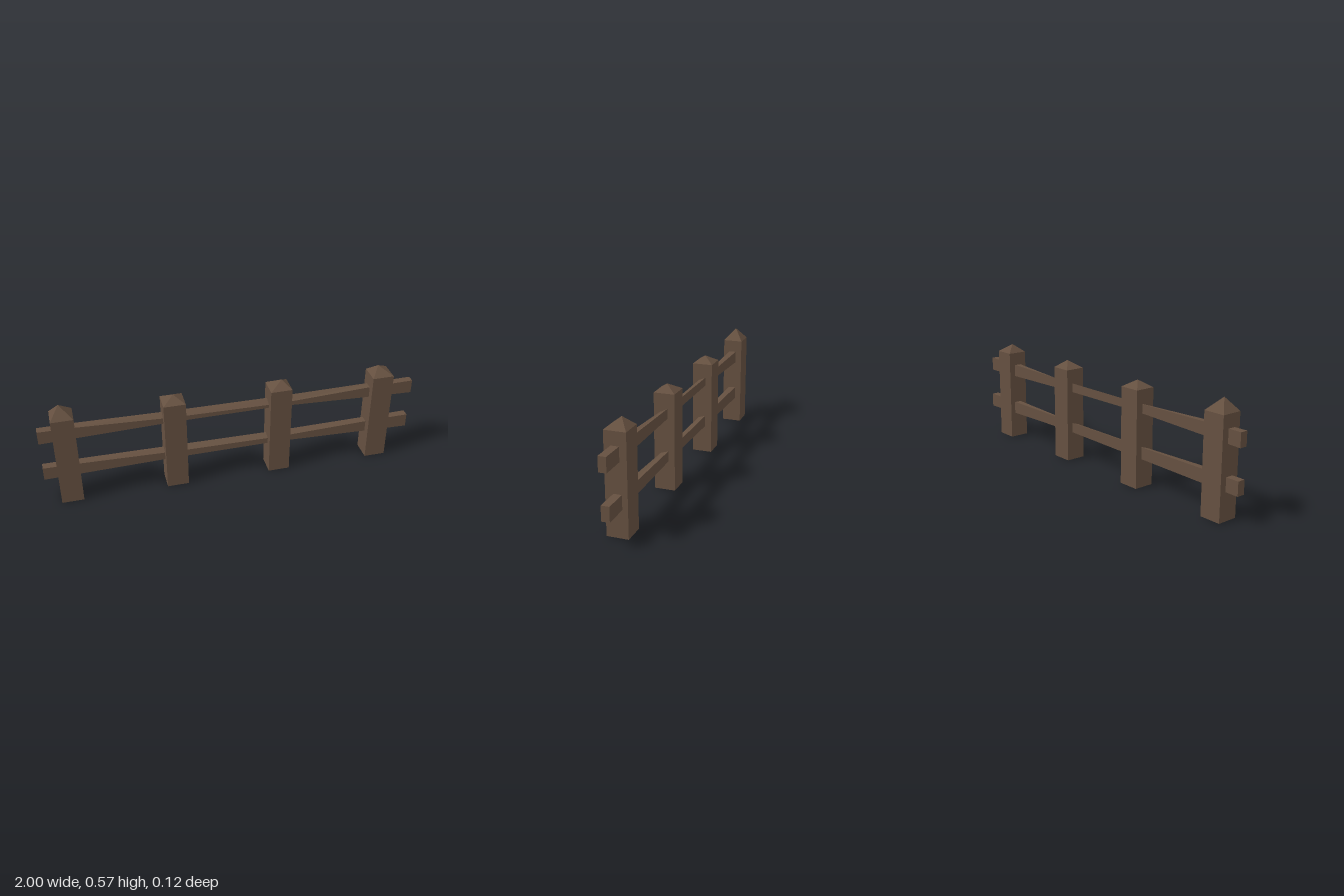
import * as THREE from 'three';

const WIDTH = 0.115, DEPTH = 0.109, SHOULDER = 0.51;

// Squared post with an off-centre pyramid point
function makePost(material, x, z, tipX, tipY, tipZ) {
  const post = new THREE.Group();
  post.name = 'post';
  const shaft = new THREE.Mesh(new THREE.BoxGeometry(WIDTH, SHOULDER, DEPTH), material);
  shaft.name = 'postShaft';
  shaft.position.set(x, SHOULDER / 2, z);

  const h = tipY - SHOULDER;
  const cone = new THREE.ConeGeometry(Math.SQRT1_2, h, 4, 1, true);
  cone.rotateY(Math.PI / 4);
  cone.scale(WIDTH, 1, DEPTH);
  cone.translate(x, SHOULDER + h / 2, z);
  const p = cone.attributes.position;
  for (let i = 0; i < p.count; i++) {
    if (p.getY(i) > SHOULDER + h / 2) p.setXYZ(i, tipX, tipY, tipZ);
  }
  const flat = cone.toNonIndexed();
  flat.computeVertexNormals();
  const point = new THREE.Mesh(flat, material);
  point.name = 'postPoint';
  post.add(shaft, point);
  return post;
}

// Hewn rail through four-cornered sections:
// [x, front z, back z, front top, back top, back bottom, front bottom]
function makeRail(material, name, sections) {
  const positions = [], index = [];
  for (const [x, f, b, ft, bt, bb, fb] of sections) {
    positions.push(x, ft, f, x, bt, b, x, bb, b, x, fb, f);
  }
  const last = (sections.length - 1) * 4;
  for (let s = 0; s < last; s += 4) {
    for (let k = 0; k < 4; k++) {
      const n = (k + 1) % 4;
      index.push(s + k, s + 4 + k, s + 4 + n, s + k, s + 4 + n, s + n);
    }
  }
  index.push(0, 1, 2, 0, 2, 3, last, last + 3, last + 2, last, last + 2, last + 1);
  const indexed = new THREE.BufferGeometry();
  indexed.setAttribute('position', new THREE.Float32BufferAttribute(positions, 3));
  indexed.setIndex(index);
  const geometry = indexed.toNonIndexed();
  geometry.computeVertexNormals();
  const rail = new THREE.Mesh(geometry, material);
  rail.name = name;
  return rail;
}

export function createModel() {
  const fence = new THREE.Group();
  fence.name = 'fence';
  const wood = new THREE.MeshStandardMaterial({ color: 0x655040, flatShading: true });
  wood.name = 'dark brown wood';

  // Four posts, drifting slightly forward along the row
  const posts = [
    [-0.871, -0.007, -0.878, 0.575, -0.006],
    [-0.31, -0.004, -0.308, 0.546, -0.002],
    [0.252, 0.001, 0.264, 0.549, 0.002],
    [0.813, 0.007, 0.8, 0.556, 0.003],
  ];
  for (const p of posts) fence.add(makePost(wood, ...p));

  // Two rails, thinner and twisted toward the middle
  fence.add(makeRail(wood, 'upperRail', [
    [-1, 0.015, -0.026, 0.443, 0.443, 0.37, 0.37],
    [-0.82, 0.015, -0.026, 0.441, 0.443, 0.376, 0.376],
    [-0.31, 0.016, -0.022, 0.418, 0.435, 0.39, 0.39],
    [0.25, 0.019, -0.018, 0.412, 0.433, 0.384, 0.394],
    [0.82, 0.027, -0.0125, 0.441, 0.441, 0.37, 0.374],
    [1, 0.027, -0.0125, 0.443, 0.443, 0.368, 0.368],
  ]));
  fence.add(makeRail(wood, 'lowerRail', [
    [-1, 0.014, -0.028, 0.216, 0.216, 0.144, 0.144],
    [-0.82, 0.014, -0.027, 0.214, 0.216, 0.146, 0.148],
    [-0.31, 0.016, -0.023, 0.2, 0.213, 0.151, 0.16],
    [0.25, 0.019, -0.02, 0.196, 0.209, 0.157, 0.165],
    [0.82, 0.021, -0.02, 0.214, 0.214, 0.144, 0.146],
    [1, 0.021, -0.02, 0.216, 0.216, 0.14, 0.14],
  ]));
  return fence;
}
